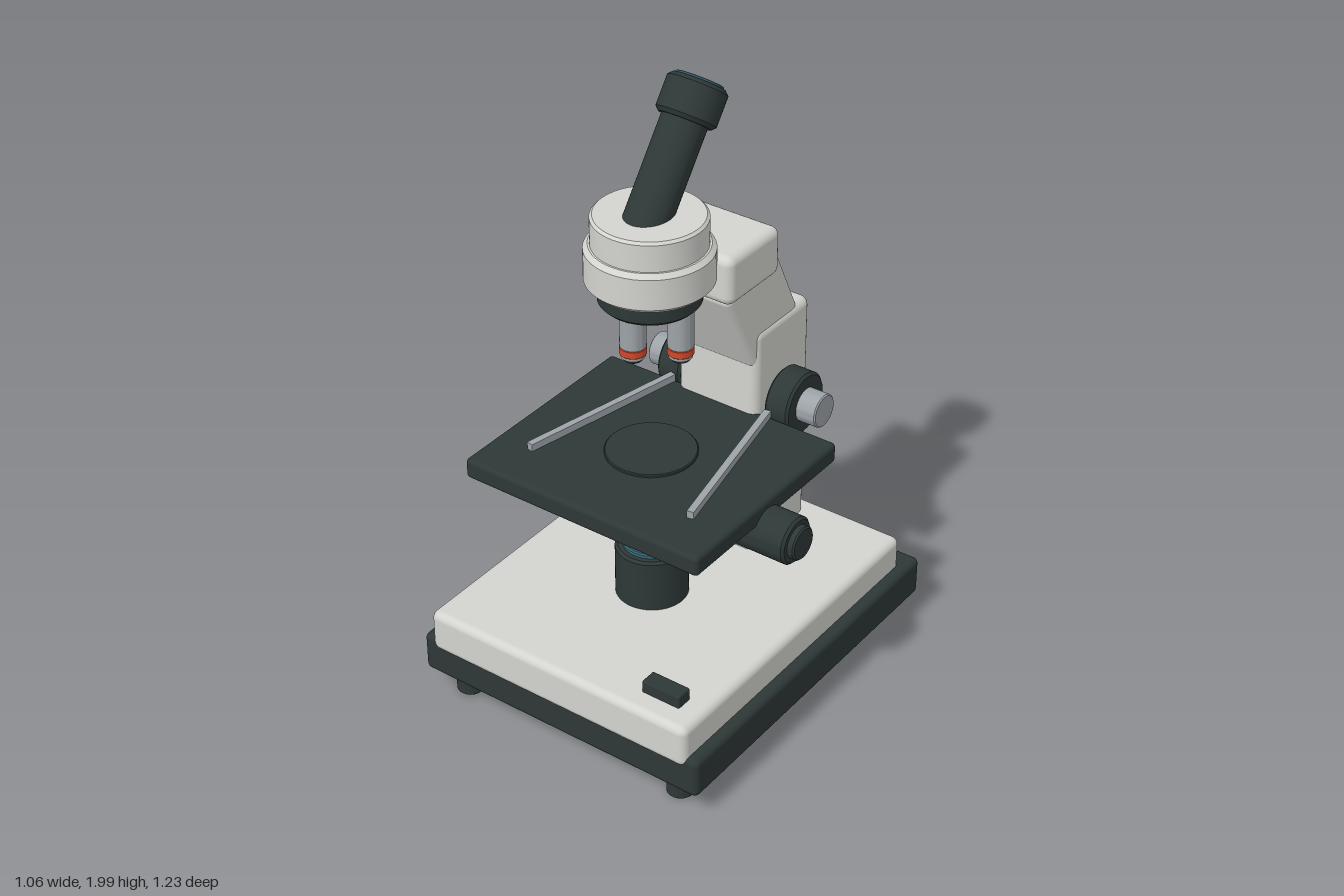
import * as THREE from 'three';
import { toCreasedNormals } from 'three/addons/utils/BufferGeometryUtils.js';
import { RoundedBoxGeometry } from 'three/addons/geometries/RoundedBoxGeometry.js';

const material = (name, color) => {
  const m = new THREE.MeshStandardMaterial({ color });
  m.name = name;
  return m;
};

export function createModel() {
  const model = new THREE.Group();
  model.name = 'microscope';
  const ivory = material('ivory enamel', 0xd3d4cf);
  const black = material('black enamel', 0x2d3836);
  const steel = material('steel', 0x9da3a8);
  const glass = material('blue glass', 0x3a6678);
  const red = material('red band', 0xd2482a);
  const CX = -0.016, CZ = 0.126; // optical axis

  const add = (parent, name, geometry, mat, x = 0, y = 0, z = 0) => {
    const mesh = new THREE.Mesh(geometry, mat);
    mesh.name = name;
    mesh.position.set(x, y, z);
    parent.add(mesh);
    return mesh;
  };

  // Rounded box given by its extents
  const box = (name, mat, [x0, x1], [y0, y1], [z0, z1], r) =>
    add(model, name, new RoundedBoxGeometry(x1 - x0, y1 - y0, z1 - z0, 3, r), mat,
      (x0 + x1) / 2, (y0 + y1) / 2, (z0 + z1) / 2);

  // Chamfered disc standing on its local y = 0
  const turned = (r, h, c = 0.008) => {
    const points = [[0, 0], [r - c, 0], [r, c], [r, h - c], [r - c, h], [0, h]];
    return toCreasedNormals(
      new THREE.LatheGeometry(points.map(p => new THREE.Vector2(...p)), 48), 0.5);
  };
  const upright = (name, mat, r, y0, y1, x = CX, z = CZ, c = 0.006) =>
    add(model, name, turned(r, y1 - y0, c), mat, x, y0, z);
  const sideways = (name, mat, r, x0, x1, y, z, c = 0.008) => {
    const mesh = add(model, name, turned(r, x1 - x0, c), mat, x0, y, z);
    mesh.rotation.z = -Math.PI / 2;
    return mesh;
  };

  // Base, feet and switch
  box('basePlate', black, [-0.53, 0.497], [0.08, 0.215], [-0.612, 0.608], 0.02);
  box('baseCover', ivory, [-0.49, 0.46], [0.18, 0.322], [-0.545, 0.617], 0.025);
  for (const x of [-0.42, 0.383])
    for (const z of [-0.49, 0.527]) upright('foot', black, 0.043, 0, 0.09, x, z);
  box('powerSwitch', black, [0.253, 0.386], [0.315, 0.362], [0.485, 0.541], 0.006);

  // Column, leaning arm and head mount
  box('column', ivory, [-0.161, 0.13], [0.3, 1.118], [-0.495, -0.204], 0.03);
  const arm = add(model, 'arm', new RoundedBoxGeometry(0.276, 0.335, 0.256, 3, 0.022),
    ivory, -0.015, 1.195, -0.252);
  arm.rotation.x = 0.455;
  box('headMount', ivory, [-0.176, 0.146], [1.292, 1.452], [-0.3, -0.04], 0.028);

  // Head and revolving nosepiece
  upright('headRing', ivory, 0.19, 1.415, 1.54, CX, CZ, 0.014);
  upright('headTop', ivory, 0.17, 1.53, 1.632, CX, CZ, 0.008);
  upright('nosepiece', black, 0.152, 1.35, 1.425, CX, CZ, 0.012);

  // Objectives, each with a coloured ring and a narrow tip
  const objectives = [
    [-0.01, 0.217, 1.2, red], [0.058, 0.08, 1.155, red], [-0.1, 0.09, 1.245, glass],
  ];
  for (const [x, z, y, ring] of objectives) {
    upright('objectiveBarrel', steel, 0.039, y + 0.045, 1.36, x, z, 0.003);
    upright('objectiveRing', ring, 0.04, y + 0.022, y + 0.047, x, z, 0.002);
    upright('objectiveTip', steel, 0.036, y + 0.01, y + 0.024, x, z, 0.002);
    upright('objectiveNose', black, 0.028, y, y + 0.012, x, z, 0.002);
  }

  // Inclined eyepiece tube
  const eyepiece = new THREE.Group();
  eyepiece.name = 'eyepiece';
  eyepiece.position.set(CX, 1.945, -0.11);
  eyepiece.rotation.x = -0.645;
  model.add(eyepiece);
  add(eyepiece, 'eyepieceTube', turned(0.069, 0.42), black, 0, -0.46, 0);
  add(eyepiece, 'eyepieceCap', turned(0.091, 0.117, 0.012), black, 0, -0.117, 0);
  add(eyepiece, 'eyepieceLens', turned(0.072, 0.01, 0.002), glass, 0, -0.003, 0);

  // Stage with centre disc and slide clips
  box('stage', black, [-0.436, 0.405], [0.762, 0.83], [-0.232, 0.482], 0.015);
  upright('stageDisc', black, 0.14, 0.82, 0.839, CX, CZ, 0.003);
  for (const s of [-1, 1]) {
    const clip = add(model, 'stageClip', new THREE.BoxGeometry(0.022, 0.024, 0.572), steel,
      CX + s * 0.234, 0.842, 0.055);
    clip.rotation.y = s * 0.205;
  }

  // Condenser under the stage with its iris lever
  upright('condenserMount', black, 0.09, 0.735, 0.77);
  upright('condenser', steel, 0.072, 0.578, 0.74);
  const lever = add(model, 'irisLever', new THREE.CylinderGeometry(0.01, 0.01, 0.17, 16),
    steel, 0.077, 0.728, 0.192);
  lever.rotation.set(0, -0.62, -Math.PI / 2);

  // Stage control knob
  sideways('stageKnob', black, 0.075, 0.29, 0.508, 0.727, 0.13);
  sideways('stageKnobCap', black, 0.053, 0.5, 0.53, 0.727, 0.13, 0.005);

  // Focus knobs on a shared axle
  sideways('focusAxle', steel, 0.04, -0.2, 0.17, 0.845, -0.331);
  for (const s of [-1, 1]) {
    const span = (a, b) => s > 0 ? [CX + a, CX + b] : [CX - b, CX - a];
    sideways('coarseFocusKnob', black, 0.101, ...span(0.157, 0.243), 0.845, -0.331);
    sideways('fineFocusKnob', steel, 0.054, ...span(0.235, 0.311), 0.845, -0.331, 0.004);
  }

  // Illuminator
  upright('lampHousing', black, 0.113, 0.31, 0.498, CX, CZ, 0.008);
  upright('lampLens', glass, 0.09, 0.49, 0.512, CX, CZ, 0.004);

  return model;
}
